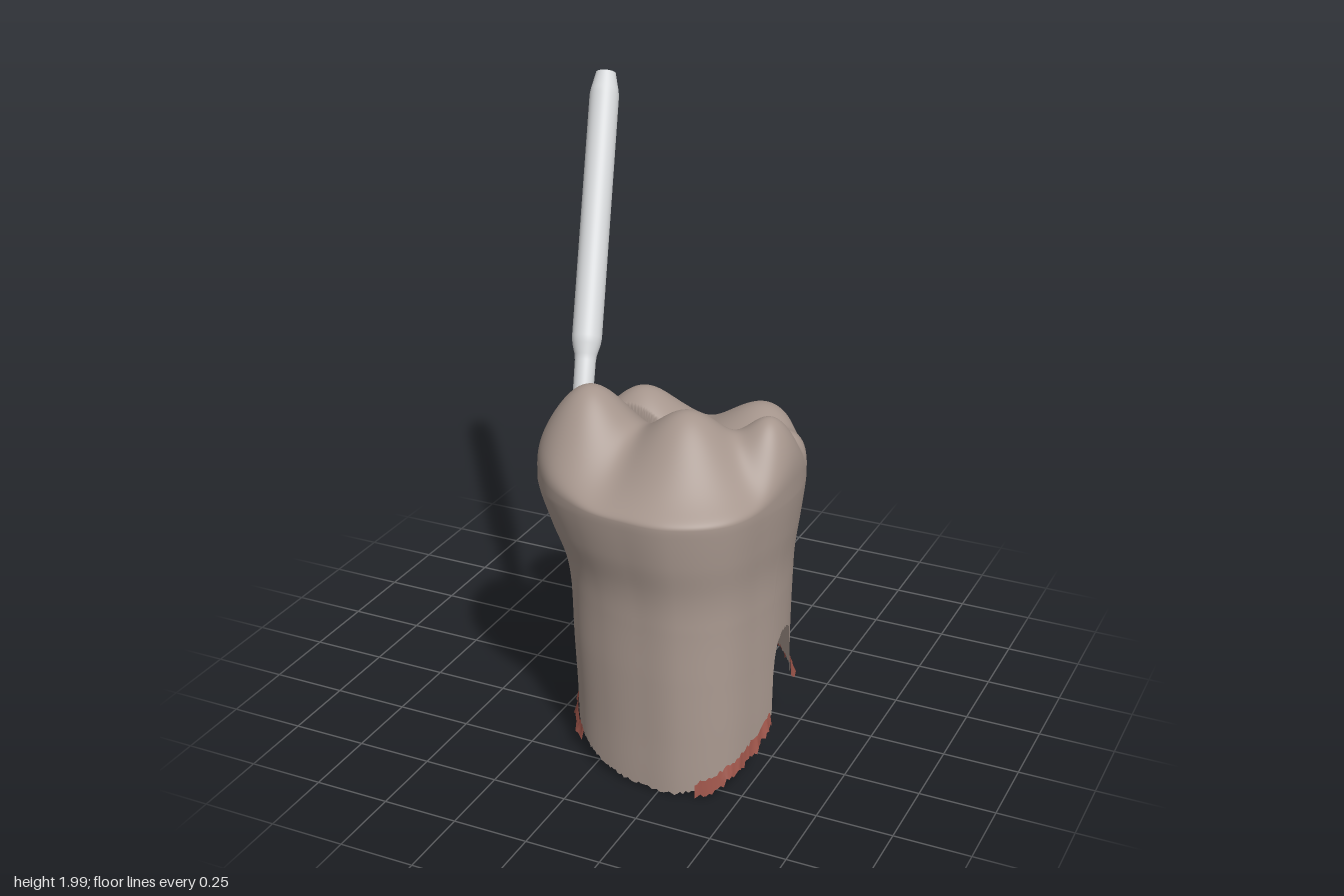
import * as THREE from 'three';

const enamel = new THREE.MeshStandardMaterial({ color: 0xa5958c, side: THREE.DoubleSide });
enamel.name = 'enamel';
const gumRed = new THREE.MeshStandardMaterial({ color: 0x9c5449, side: THREE.DoubleSide });
gumRed.name = 'gumRed';
const steel = new THREE.MeshStandardMaterial({ color: 0xd6d8da });
steel.name = 'steel';
const grit = new THREE.MeshStandardMaterial({ color: 0xc0c6c6 });
grit.name = 'grit';

const { lerp, smoothstep, clamp } = THREE.MathUtils;
const COLS = 256, TAU = Math.PI * 2, WIDEST = 0.92;

// Crown outline radii every 22.5 degrees, from +x towards +z
const RADII = [.41, .415, .45, .445, .415, .415, .43, .43, .40, .415, .475, .415, .41, .46, .43, .42];
// Side limits by height: y, xMin, xMax, zMin, zMax
const LIMITS = [
  [0, -.14, .515, -.10, .588], [.2, -.15, .51, -.115, .575], [.4, -.17, .5, -.142, .562],
  [.58, -.187, .493, -.178, .55], [.68, -.21, .493, -.2, .55], [.8, -.262, .505, -.235, .568],
  [WIDEST, -.307, .515, -.263, .578],
];

// Smooth interpolation through four neighbours
function cubic(a, b, c, d, t) {
  return b + 0.5 * t * (c - a + t * (2 * a - 5 * b + 4 * c - d + t * (3 * (b - c) + d - a)));
}

// Point on the tooth wall at an angle and height
function wallPoint(angle, y) {
  const f = angle / TAU * 16, i = Math.floor(f), at = k => RADII[(k + 32) % 16];
  const r = cubic(at(i - 1), at(i), at(i + 1), at(i + 2), f - i);
  const v = clamp(y, 0, WIDEST - 1e-6);
  const k = LIMITS.findIndex(row => row[0] > v) - 1;
  const row = n => LIMITS[clamp(n, 0, LIMITS.length - 1)];
  const t = (v - row(k)[0]) / (row(k + 1)[0] - row(k)[0]);
  const [x0, x1, z0, z1] = [1, 2, 3, 4].map(c => cubic(row(k - 1)[c], row(k)[c], row(k + 1)[c], row(k + 2)[c], t));
  return {
    x: (x0 + x1) / 2 + r * Math.cos(angle) / .41 * (x1 - x0) / 2,
    z: (z0 + z1) / 2 + r * Math.sin(angle) / .418 * (z1 - z0) / 2,
  };
}

// Cusps: x, z, height, spread
const CUSPS = [
  [-.15, .27, .29, .15], [.2, .27, .25, .15], [.44, .14, .25, .11],
  [-.14, -.14, .15, .12], [.3, -.18, .15, .14], [.45, -.04, .13, .09],
];
function biteHeight(x, z) {
  let sum = 0;
  for (const [cx, cz, h, s] of CUSPS) {
    sum += (h * Math.exp(-((x - cx) ** 2 + (z - cz) ** 2) / (2 * s * s))) ** 3;
  }
  return .94 + Math.cbrt(sum) - .025 * Math.exp(-(((z - .02) / .04) ** 2));
}

// Depth inside the drilled cavity's footprint, negative outside
function cavityDepth(x, z) {
  const a = .075 - .2 * x - Math.abs(z - (.055 - .17 * x)), b = .01 - x, r = .06;
  if (a < r && b < r) return r - Math.hypot(r - a, r - b);
  return Math.min(a, b);
}

const noise = n => { const s = Math.sin(n * 127.1 + 3.7) * 43758.5453; return s - Math.floor(s); };

// Broken lower edge, with an arched notch on the left side
function bottomEdge(angle) {
  const { x, z } = wallPoint(angle, .2);
  const back = 1 - clamp((z + .11) / .69, 0, 1) ** 3;
  let y = .02 + .18 * back + .05 * smoothstep(x, .25, .45) * smoothstep(-z, -.4, -.2);
  const d = Math.abs(z - .19) / .088;
  if (x > .35 && d < 1) y = Math.max(y, .24 + .21 * Math.pow(1 - d ** 3, .5));
  return y + .012 * (noise(Math.round(angle / TAU * COLS)) - .5);
}

// Closed rings joined into a surface
function ringSurface(rows, pointAt, keep = () => true) {
  const pos = [], index = [];
  for (let j = 0; j <= rows; j++) {
    for (let i = 0; i < COLS; i++) pos.push(...pointAt(i / COLS * TAU, j, i));
  }
  for (let j = 0; j < rows; j++) {
    for (let i = 0; i < COLS; i++) {
      if (!keep(i / COLS * TAU)) continue;
      const n = (i + 1) % COLS, a = j * COLS + i, b = j * COLS + n;
      index.push(a, a + COLS, b, b, a + COLS, b + COLS);
    }
  }
  const g = new THREE.BufferGeometry();
  g.setAttribute('position', new THREE.Float32BufferAttribute(pos, 3));
  g.setIndex(index);
  g.computeVertexNormals();
  return g;
}

function toothGeometry() {
  const wallRows = 60, domeRows = 90;
  return ringSurface(wallRows + domeRows, (angle, j) => {
    let x, y, z;
    if (j <= wallRows) {
      y = lerp(bottomEdge(angle), WIDEST, j / wallRows);
      ({ x, z } = wallPoint(angle, y));
    } else {
      // Rounded shoulder rising to the biting surface
      const t = (j - wallRows) / domeRows;
      const rho = 1 - Math.pow(t, 1.5);
      const p = wallPoint(angle, WIDEST);
      x = lerp(.104, p.x, rho);
      z = lerp(.157, p.z, rho);
      y = WIDEST + (biteHeight(x, z) - WIDEST) * Math.pow(Math.max(0, 1 - rho ** 4), .25);
    }
    // Two-level drilled cavity, open on the right side
    const w = smoothstep(cavityDepth(x, z), -.006, .012);
    if (w > 0 && y > .7) {
      const step = -.165 - 4 * (z - .09) ** 2;
      const floor = lerp(.785, .9, smoothstep(x, step - .012, step + .012));
      y = Math.min(y, lerp(y, floor, w));
      if (x < 0) x = Math.max(x, wallPoint(angle, y).x);
    }
    return [x, y, z];
  });
}

// Ragged strip of gum along the broken edge
function gumGeometry() {
  const rag = i => lerp(noise(Math.floor(i / 3) + 40), noise(i + 90), .4);
  return ringSurface(3, (angle, j, i) => {
    const t = j / 3, edge = bottomEdge(angle);
    const p = wallPoint(angle, edge);
    const flare = .004 + .02 * (1 - t) * rag(i + 7);
    const y = edge + lerp(-.006 - .03 * rag(i), .012 + .02 * rag(i + 31), t);
    return [p.x + Math.cos(angle) * flare, Math.max(y, 0), p.z + Math.sin(angle) * flare];
  }, angle => {
    const { x, z } = wallPoint(angle, .2);
    const arch = x > .35 && z > .09 && z < .29;
    const front = z > .42 && x > -.06 && x < .36;
    return !arch && !front;
  });
}

// Drill: lathed shank with a gritty tip
function makeDrill() {
  const drill = new THREE.Group();
  drill.name = 'drill';
  const tip = new THREE.Vector3(-.255, .79, .145), top = new THREE.Vector3(-.49, 1.985, -.572);
  const axis = top.clone().sub(tip), len = axis.length();
  const profile = [[0, .19], [.033, .19], [.035, .42], [.037, .44], [.047, .475], [.05, .5],
    [.05, len - .08], [.047, len - .06], [.034, len - .002]];
  const shankGeo = new THREE.LatheGeometry(profile.map(p => new THREE.Vector2(...p)), 48);
  const shank = new THREE.Mesh(shankGeo, steel);
  shank.name = 'drillShank';
  const cap = new THREE.Mesh(new THREE.CylinderGeometry(.034, .034, .004, 48), steel);
  cap.position.y = len - .002;
  cap.name = 'drillEnd';

  const gritGeo = new THREE.CylinderGeometry(.034, .034, .21, 36, 30);
  const p = gritGeo.attributes.position;
  for (let i = 0; i < p.count; i++) {
    const [x, y, z] = [p.getX(i), p.getY(i), p.getZ(i)];
    const n = noise(Math.round(x * 900) * 1.3 + Math.round(y * 900) * 2.7 + Math.round(z * 900) * 5.1);
    const s = 1 + .09 * (n - .4);
    p.setXYZ(i, x * s, y, z * s);
  }
  const rough = gritGeo.toNonIndexed();
  rough.computeVertexNormals();
  const gritTip = new THREE.Mesh(rough, grit);
  gritTip.position.y = .105;
  gritTip.name = 'drillTip';

  drill.add(shank, cap, gritTip);
  drill.position.copy(tip);
  drill.quaternion.setFromUnitVectors(new THREE.Vector3(0, 1, 0), axis.normalize());
  return drill;
}

export function createModel() {
  const model = new THREE.Group();
  model.name = 'toothWithDrill';
  const tooth = new THREE.Mesh(toothGeometry(), enamel);
  tooth.name = 'tooth';
  const gum = new THREE.Mesh(gumGeometry(), gumRed);
  gum.name = 'gumEdge';
  model.add(tooth, gum, makeDrill());
  return model;
}
